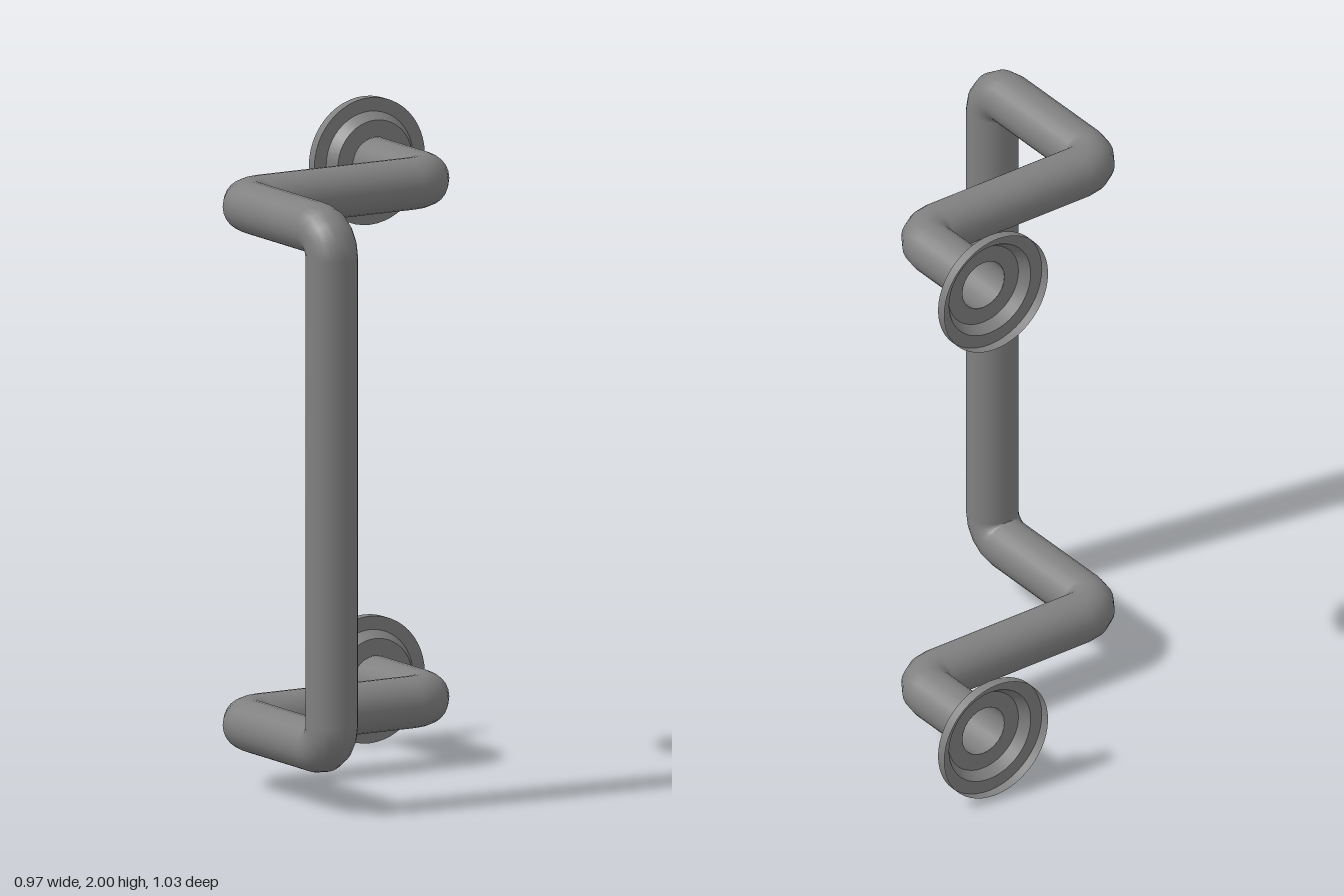
import * as THREE from 'three';
import { mergeGeometries } from 'three/addons/utils/BufferGeometryUtils.js';

const R = 0.08;        // pipe radius, also the bend radius of the elbows
const SIDES = 24;
const UP = new THREE.Vector3(0, 1, 0);

// Straight pipe run, open at both ends
function straight(a, b) {
  const d = b.clone().sub(a);
  const g = new THREE.CylinderGeometry(R, R, d.length(), SIDES, 1, true);
  g.applyQuaternion(new THREE.Quaternion().setFromUnitVectors(UP, d.normalize()));
  const mid = a.clone().add(b).multiplyScalar(0.5);
  return g.translate(mid.x, mid.y, mid.z);
}

// Tight quarter elbow at corner p between its neighbours a and b
function elbow(a, p, b) {
  const da = a.clone().sub(p).normalize();
  const db = b.clone().sub(p).normalize();
  const x = db.clone().negate(), y = da.clone().negate();
  const m = new THREE.Matrix4().makeBasis(x, y, x.clone().cross(y));
  m.setPosition(p.clone().addScaledVector(da, R).addScaledVector(db, R));
  return new THREE.TorusGeometry(R, R, SIDES, 4, Math.PI / 2).applyMatrix4(m);
}

// Hollow stepped wall flange, one lathe band per profile segment for crisp edges
function flangeGeometry() {
  const profile = [[0.197, -0.515], [0.197, -0.483], [0.155, -0.483], [0.133, -0.45], [R, -0.45]]
    .map(([r, z]) => new THREE.Vector2(r, z));
  const bands = profile.slice(1).map((p, i) => new THREE.LatheGeometry([profile[i], p], 48));
  return mergeGeometries(bands).rotateX(Math.PI / 2);
}

export function createModel() {
  const group = new THREE.Group();
  group.name = 'pullHandle';
  const metal = new THREE.MeshStandardMaterial({ color: 0x808080, side: THREE.DoubleSide });
  metal.name = 'grey metal';

  const add = (name, geometry) => {
    const mesh = new THREE.Mesh(geometry, metal);
    mesh.name = name;
    group.add(mesh);
    return mesh;
  };

  // Centre line of the pipe, from the top flange round to the bottom flange
  const top = 1.803, bottom = 0.197;
  const arm = [[0.288, -0.45], [0.288, -0.11], [-0.407, -0.11], [-0.407, 0.435]];
  const path = [
    ...arm.map(([x, z]) => new THREE.Vector3(x, top, z)),
    ...arm.slice().reverse().map(([x, z]) => new THREE.Vector3(x, bottom, z)),
  ];
  const names = ['topStub', 'topCrossbar', 'topArm', 'grip', 'bottomArm', 'bottomCrossbar', 'bottomStub'];
  const last = path.length - 1;

  names.forEach((name, i) => {
    const a = path[i].clone(), b = path[i + 1].clone();
    const d = b.clone().sub(a).normalize();
    if (i > 0) a.addScaledVector(d, R);
    if (i + 1 < last) b.addScaledVector(d, -R);
    add(name, straight(a, b));
    if (i > 0) add('elbow' + i, elbow(path[i - 1], path[i], path[i + 1]));
  });

  // Wall flanges
  const flange = flangeGeometry();
  add('topFlange', flange).position.set(0.288, top, 0);
  add('bottomFlange', flange).position.set(0.288, bottom, 0);

  return group;
}
